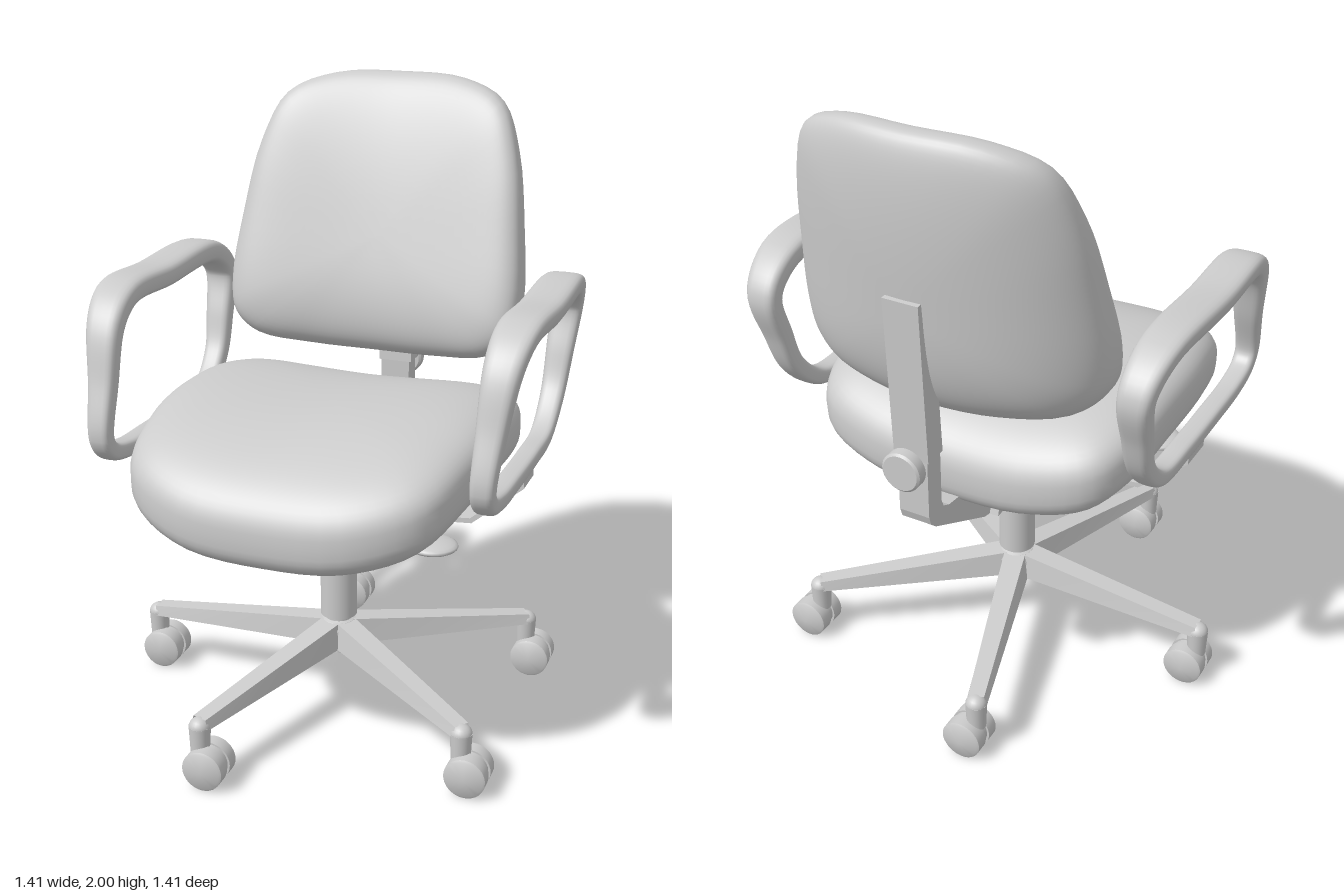
import * as THREE from 'three';
import { mergeVertices, toCreasedNormals } from 'three/addons/utils/BufferGeometryUtils.js';
import { ParametricGeometry } from 'three/addons/geometries/ParametricGeometry.js';

const grey = new THREE.MeshStandardMaterial({ color: 0xcccccc, side: THREE.DoubleSide });

function add(parent, name, geo, x = 0, y = 0, z = 0) {
  const mesh = new THREE.Mesh(geo, grey);
  mesh.name = name;
  mesh.position.set(x, y, z);
  parent.add(mesh);
  return mesh;
}

// Parametric surface with seams welded and smooth normals
function surface(fn, nu, nv) {
  const geo = new ParametricGeometry(fn, nu, nv);
  geo.deleteAttribute('normal');
  geo.deleteAttribute('uv');
  const welded = mergeVertices(geo, 1e-5);
  welded.computeVertexNormals();
  return welded;
}

// Padded cushion: half an outline (mirrored in x), swollen in z around a curved middle surface
function cushion(half, centerY, middle, thickness, power) {
  const mirrored = half.slice(1, -1).reverse().map(([x, y]) => [-x, y]);
  const outline = new THREE.CatmullRomCurve3(
    [...half, ...mirrored].map(([x, y]) => new THREE.Vector3(x, y, 0)), true);
  const p = new THREE.Vector3();
  return surface((u, v, target) => {
    outline.getPoint(u % 1, p);
    const a = Math.PI * v, c = -Math.cos(a);
    const s = Math.pow(Math.max(0, Math.sin(a)), 2 / power);
    const t = Math.sign(c) * Math.pow(Math.abs(c), 2 / power);
    const x = p.x * s, y = centerY + (p.y - centerY) * s;
    target.set(x, y, middle(x, y) + thickness(y) * t);
  }, 72, 40);
}

// Side profile given as (z, y), extruded across x
function sideProfile(points, width) {
  const shape = new THREE.Shape(points.map(([z, y]) => new THREE.Vector2(z, y)));
  return new THREE.ExtrudeGeometry(shape, { depth: width, bevelEnabled: false })
    .rotateY(-Math.PI / 2).translate(width / 2, 0, 0);
}

function lathe(points, segments = 32) {
  return toCreasedNormals(new THREE.LatheGeometry(
    points.map(([r, y]) => new THREE.Vector2(r, y)), segments), 0.6);
}

function rod(parent, name, from, to, radius) {
  const a = new THREE.Vector3(...from), b = new THREE.Vector3(...to);
  const mesh = add(parent, name, new THREE.CylinderGeometry(radius, radius, a.distanceTo(b), 12));
  mesh.position.copy(a).add(b).multiplyScalar(0.5);
  mesh.quaternion.setFromUnitVectors(new THREE.Vector3(0, 1, 0), b.sub(a).normalize());
}

// Closed armrest loop: flat inside, flaring outwards towards the top
function armrest(side) {
  const loop = new THREE.CatmullRomCurve3([
    [0.452, 1.0], [0.41, 1.16], [0.355, 1.325], [0.26, 1.397], [0, 1.4], [-0.35, 1.397],
    [-0.455, 1.31], [-0.42, 1.16], [-0.37, 1.03], [-0.25, 0.927], [-0.07, 0.913],
    [0.15, 0.915], [0.32, 0.922], [0.42, 0.95],
  ].map(([z, y]) => new THREE.Vector3(0, y, z)), true);
  const squash = (n) => Math.sign(n) * Math.pow(Math.abs(n), 0.6);
  const xAxis = new THREE.Vector3(1, 0, 0);
  return surface((u, v, target) => {
    const p = loop.getPoint(v % 1);
    const out = xAxis.clone().cross(loop.getTangent(v % 1));
    const a = side * 2 * Math.PI * u;
    const h = THREE.MathUtils.mapLinear(p.y, 0.91, 1.4, 0.028, 0.039);
    p.addScaledVector(out, h * squash(Math.cos(a)));
    const rise = Math.max(0, (p.y - 0.885) / 0.55);
    const outer = 0.63 + 0.075 * Math.pow(rise, 1.4) - 0.1 * p.z * p.z * rise;
    const inner = 0.562;
    p.x = side * ((outer + inner) / 2 + (outer - inner) / 2 * squash(Math.sin(a)));
    target.copy(p);
  }, 24, 112);
}

// Star-base leg: tapering channel, open underneath
function legGeometry() {
  const section = [[-1, 0], [-0.75, 1], [0.75, 1], [1, 0], [0.7, 0], [0.5, 0.6], [-0.5, 0.6], [-0.7, 0]];
  return toCreasedNormals(surface((u, v, target) => {
    const [sz, sy] = section[Math.round(u * 8) % 8];
    const w = THREE.MathUtils.lerp(0.048, 0.033, v);
    const top = THREE.MathUtils.lerp(0.29, 0.216, v);
    const bottom = THREE.MathUtils.lerp(0.205, 0.183, v);
    target.set(0.03 + 0.64 * v, THREE.MathUtils.lerp(bottom, top, sy), sz * w);
  }, 8, 4), 0.5);
}

function caster() {
  const group = new THREE.Group();
  group.name = 'caster';
  add(group, 'casterCap', new THREE.SphereGeometry(0.034, 20, 12).scale(1, 0.9, 1), 0, 0.187, 0);
  add(group, 'casterStem', new THREE.CylinderGeometry(0.034, 0.03, 0.09, 20), 0, 0.145, 0);
  add(group, 'casterHood', new THREE.CylinderGeometry(0.058, 0.058, 0.03, 24).rotateX(Math.PI / 2), 0.027, 0.067, 0);
  const wheel = lathe([[0, 0.01], [0.065, 0.01], [0.065, 0.052], [0.058, 0.056], [0, 0.068]]);
  for (const s of [1, -1]) {
    add(group, 'casterWheel', wheel, 0.027, 0.065, 0).rotation.x = s * Math.PI / 2;
  }
  return group;
}

export function createModel() {
  const chair = new THREE.Group();
  chair.name = 'officeChair';

  // Seat: saddle-shaped, sloping down at the front and back
  const seat = cushion([
    [0, -0.66], [0.28, -0.64], [0.46, -0.53], [0.53, -0.28], [0.545, 0], [0.53, 0.24],
    [0.46, 0.39], [0.28, 0.455], [0, 0.465],
  ], -0.1, (x, y) => 0.915 + 0.2 * x * x - 0.23 * (y + 0.05) ** 2, () => 0.183, 2.8);
  add(chair, 'seat', seat.rotateX(-Math.PI / 2));

  // Backrest: leaning back, wrapping forward at the sides
  add(chair, 'backrest', cushion([
    [0, 1.11], [0.22, 1.118], [0.40, 1.15], [0.475, 1.22], [0.495, 1.33], [0.475, 1.55],
    [0.435, 1.78], [0.365, 1.93], [0.22, 1.99], [0, 2.0],
  ], 1.5, (x, y) => -0.44 - 0.2 * (y - 1.3) + 0.48 * x * x, (y) => 0.175 - 0.11 * (y - 1.3), 2.8));

  // Armrests and the bent strip that carries both
  add(chair, 'leftArmrest', armrest(1));
  add(chair, 'rightArmrest', armrest(-1));
  const upper = [[0.605, 0.91], [0.605, 0.865], [0.455, 0.738], [0.08, 0.705]];
  const lower = [[0.08, 0.69], [0.46, 0.722], [0.62, 0.86], [0.62, 0.91]];
  const right = [...upper, ...lower];
  const strip = new THREE.Shape([
    ...right.slice(4), ...upper,
    ...upper.slice().reverse().map(([x, y]) => [-x, y]),
    ...lower.slice().reverse().map(([x, y]) => [-x, y]),
  ].map(([x, y]) => new THREE.Vector2(x, y)));
  add(chair, 'armBracket', new THREE.ExtrudeGeometry(strip, { depth: 0.12, bevelEnabled: false }), 0, 0, -0.06);

  // Tilt mechanism with pivot bolts
  add(chair, 'mechanism', sideProfile(
    [[0.10, 0.75], [0.10, 0.66], [0.06, 0.613], [-0.27, 0.613], [-0.23, 0.75]], 0.16));
  for (const [z, y] of [[-0.08, 0.655], [-0.12, 0.638]]) {
    add(chair, 'pivotBolt', new THREE.CylinderGeometry(0.018, 0.018, 0.168, 16).rotateZ(Math.PI / 2), 0, y, z);
  }

  // Adjustment levers with oval paddles
  for (const s of [1, -1]) {
    rod(chair, 'leverRod', [s * 0.06, 0.665, 0.09], [s * 0.36, 0.712, 0.23], 0.012);
    add(chair, 'leverPaddle', new THREE.SphereGeometry(1, 24, 12).scale(0.08, 0.02, 0.075), s * 0.39, 0.715, 0.24);
  }

  // Back support: bent bar, upright sleeve and clamping knob
  add(chair, 'backBar', sideProfile([
    [-0.23, 0.735], [-0.265, 0.613], [-0.30, 0.62], [-0.585, 0.768], [-0.61, 0.79], [-0.62, 0.82],
    [-0.62, 1.03], [-0.55, 1.03], [-0.55, 0.84], [-0.54, 0.815], [-0.51, 0.80], [-0.43, 0.79],
  ], 0.1));
  add(chair, 'backSleeve', sideProfile(
    [[-0.548, 1.015], [-0.626, 1.015], [-0.65, 1.53], [-0.58, 1.535]], 0.115));
  add(chair, 'knobStem', new THREE.CylinderGeometry(0.025, 0.025, 0.06, 16).rotateX(Math.PI / 2), 0, 1.0, -0.63);
  add(chair, 'knob', lathe([[0, -0.022], [0.056, -0.022], [0.063, -0.016], [0.063, 0.016], [0.056, 0.022], [0, 0.022]])
    .rotateX(Math.PI / 2), 0, 1.0, -0.665);

  // Gas column and hub
  add(chair, 'column', new THREE.CylinderGeometry(0.06, 0.06, 0.315, 32), 0, 0.4625, 0);
  add(chair, 'hub', lathe([[0, 0.172], [0.042, 0.172], [0.042, 0.205], [0.07, 0.21], [0.07, 0.265],
    [0.055, 0.288], [0.045, 0.292], [0.045, 0.31]]));

  // Five-legged star base; all casters trail the same way
  const leg = legGeometry();
  for (let i = 0; i < 5; i++) {
    const a = Math.PI + i * Math.PI * 2 / 5;
    add(chair, 'baseLeg', leg).rotation.y = -a;
    const wheels = caster();
    wheels.position.set(0.67 * Math.cos(a), 0, 0.67 * Math.sin(a));
    chair.add(wheels);
  }
  return chair;
}
